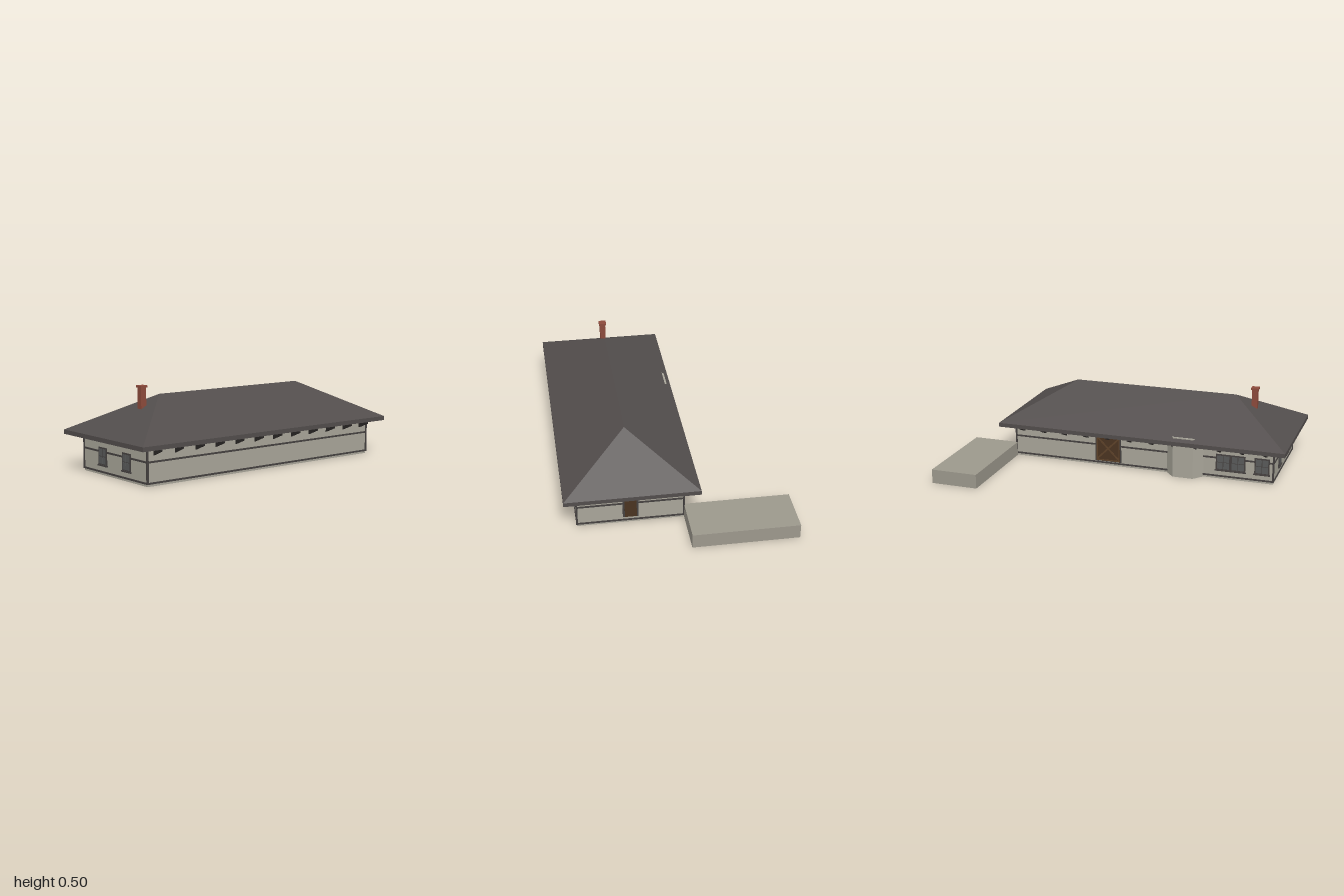
import * as THREE from 'three';

const material = (name, color) => new THREE.MeshStandardMaterial({ name, color });

export function createModel() {
  const wall = material('wall grey', 0xa8a599);
  const stone = material('platform grey', 0x9c988c);
  const roofing = material('roof charcoal', 0x524d4c);
  const trim = material('trim grey', 0x454140);
  const bracketDark = material('bracket dark', 0x2a2726);
  const brick = material('brick', 0x8c4a3b);
  const wood = material('door wood', 0x4a3320);
  const brace = material('brace wood', 0x5e4229);
  const glass = material('glass', 0x595a5a);

  const model = new THREE.Group();
  model.name = 'depot';

  // Box given by its lower and upper corners
  function block(name, mat, [x0, y0, z0], [x1, y1, z1], parent = model) {
    const mesh = new THREE.Mesh(new THREE.BoxGeometry(x1 - x0, y1 - y0, z1 - z0), mat);
    mesh.position.set((x0 + x1) / 2, (y0 + y1) / 2, (z0 + z1) / 2);
    mesh.name = name;
    parent.add(mesh);
    return mesh;
  }

  // Walls with horizontal bands and corner boards
  const X0 = -0.92, X1 = 0.72, Z0 = -0.04, Z1 = 0.57, T = 0.004;
  block('walls', wall, [X0, 0, Z0], [X1, 0.215, Z1]);
  for (const [y0, y1] of [[0.012, 0.022], [0.126, 0.136]]) {
    block('band', trim, [X0 - T, y0, Z0 - T], [X1 + T, y1, Z1 + T]);
  }
  for (const x of [X0, X1]) for (const z of [Z0, Z1]) {
    block('cornerBoard', trim, [x - 0.005, 0.012, z - 0.005], [x + 0.005, 0.21, z + 0.005]);
  }

  // Hip roof above a flat fascia slab
  const rx0 = -1, rx1 = 0.8, rz0 = -0.125, rz1 = 0.645, eave = 0.23;
  block('fascia', roofing, [rx0, 0.205, rz0], [rx1, eave, rz1]);
  const a = [rx0, eave, rz1], b = [rx1, eave, rz1], c = [rx1, eave, rz0], d = [rx0, eave, rz0];
  const r0 = [-0.615, 0.44, 0.26], r1 = [0.415, 0.44, 0.26];
  const hip = new THREE.BufferGeometry();
  hip.setAttribute('position', new THREE.Float32BufferAttribute(
    [a, b, r1, a, r1, r0, b, c, r1, c, d, r0, c, r0, r1, d, a, r0].flat(), 3));
  hip.computeVertexNormals();
  const roof = new THREE.Mesh(hip, roofing);
  roof.name = 'roof';
  model.add(roof);

  // Chimney with a wider cap
  block('chimney', brick, [-0.75, 0.33, 0.243], [-0.716, 0.49, 0.277]);
  block('chimneyCap', brick, [-0.756, 0.485, 0.237], [-0.71, 0.496, 0.283]);

  // Eave brackets along the long walls
  const bracketShape = new THREE.Shape([
    new THREE.Vector2(0, 0.165), new THREE.Vector2(0.068, 0.194),
    new THREE.Vector2(0.068, 0.206), new THREE.Vector2(0, 0.206)]);
  const bracketGeo = new THREE.ExtrudeGeometry(bracketShape, { depth: 0.01, bevelEnabled: false });
  bracketGeo.translate(0, 0, -0.005);
  for (let i = 0; i < 12; i++) {
    for (const [z, turn] of [[Z1, -Math.PI / 2], [Z0, Math.PI / 2]]) {
      const bracket = new THREE.Mesh(bracketGeo, bracketDark);
      bracket.position.set(-0.876 + i * 0.14, 0, z);
      bracket.rotation.y = turn;
      bracket.name = 'eaveBracket';
      model.add(bracket);
    }
  }

  // Bay with slanted sides, poking through the eave
  const bayShape = new THREE.Shape([[-0.505, 0.03], [-0.26, 0.03], [-0.32, 0.1], [-0.445, 0.1]]
    .map(([x, y]) => new THREE.Vector2(x, y)));
  const bayGeo = new THREE.ExtrudeGeometry(bayShape, { depth: 0.25, bevelEnabled: false });
  bayGeo.rotateX(-Math.PI / 2);
  const bay = new THREE.Mesh(bayGeo, wall);
  bay.name = 'bay';
  model.add(bay);

  // Raised platform beside the building
  block('platform', stone, [0.715, 0, -0.65], [1, 0.085, -0.041]);

  // Openings are built facing +z, then turned onto their wall
  function opening(name, x, z, turn) {
    const group = new THREE.Group();
    group.name = name;
    group.position.set(x, 0, z);
    group.rotation.y = turn;
    model.add(group);
    return group;
  }

  function windowUnit(x, z, turn, w, sashes) {
    const g = opening('window', x, z, turn);
    const y0 = 0.055, y1 = 0.155, h = w / 2;
    block('frame', trim, [-h, y0, 0], [h, y1, 0.005], g);
    const sw = w / sashes;
    for (let s = 0; s < sashes; s++) {
      for (let col = 0; col < 2; col++) for (let row = 0; row < 2; row++) {
        const px = -h + s * sw + 0.008 + col * (sw - 0.012) / 2;
        const py = y0 + 0.008 + row * 0.044;
        block('pane', glass, [px, py, 0.004], [px + (sw - 0.02) / 2, py + 0.04, 0.006], g);
      }
    }
    block('sill', trim, [-h - 0.005, y0 - 0.005, 0], [h + 0.005, y0 + 0.003, 0.009], g);
  }
  windowUnit(-0.662, Z0, Math.PI, 0.18, 2);
  windowUnit(-0.852, Z0, Math.PI, 0.09, 1);
  for (const z of [0.15, 0.38]) windowUnit(X0, z, -Math.PI / 2, 0.08, 1);

  // Side door
  const door = opening('sideDoor', X1, 0.265, Math.PI / 2);
  block('doorFrame', trim, [-0.045, 0.038, 0], [0.045, 0.206, 0.006], door);
  block('doorPanel', wood, [-0.034, 0.04, 0], [0.034, 0.2, 0.008], door);

  // Freight door with crossed braces
  const freight = opening('freightDoor', 0.108, Z0, Math.PI);
  block('doorFrame', trim, [-0.083, 0.026, 0], [0.083, 0.2, 0.005], freight);
  block('doorPanel', wood, [-0.075, 0.03, 0], [0.075, 0.192, 0.006], freight);
  for (const side of [-1, 1]) {
    const bar = block('crossBrace', brace, [-0.1, 0.106, 0.005], [0.1, 0.116, 0.008], freight);
    bar.rotation.z = side * Math.atan2(0.14, 0.14);
    bar.scale.x = 0.98;
    block('doorStile', brace, [side * 0.071 - 0.004, 0.03, 0], [side * 0.071 + 0.004, 0.192, 0.008], freight);
  }
  for (const y of [0.034, 0.188]) {
    block('doorRail', brace, [-0.075, y - 0.004, 0], [0.075, y + 0.004, 0.008], freight);
  }

  return model;
}
